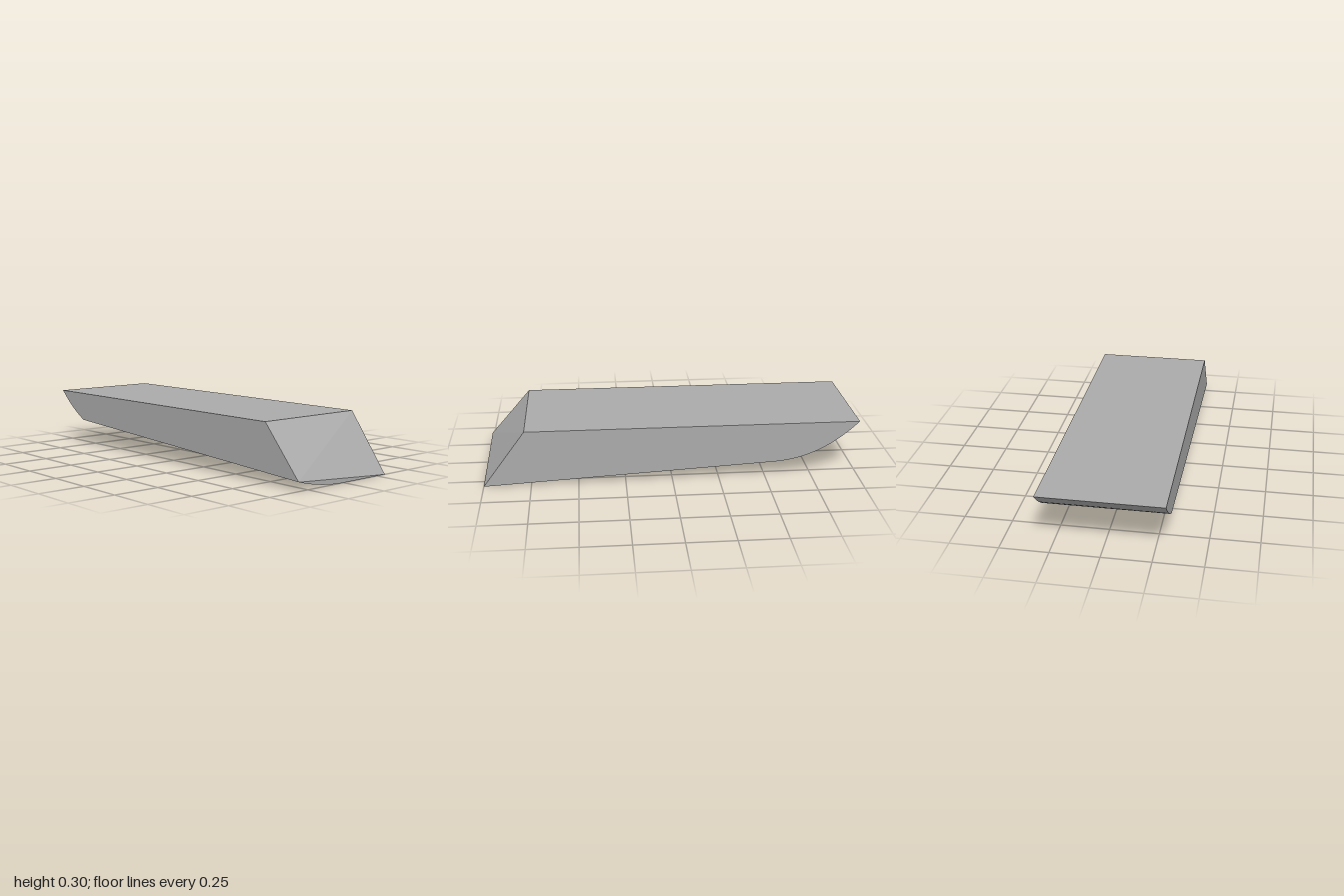
import * as THREE from 'three';

const W = 0.313;       // half width
const TOP = 0.304;     // deck height
const AFT = 0.775;     // aft edge of the deck
const SLOPE = 0.056;   // rise of the bottom towards the bow
const RISE = 0.045;    // lift of the bottom along the front side
const BOW = 14, RUN = 10, ROWS = 20;

const grey = new THREE.MeshStandardMaterial({ color: 0xaaaaaa });
grey.name = 'grey';

// Bow curve, tangent to the straight run of the bottom
const bow = new THREE.QuadraticBezierCurve(
  new THREE.Vector2(-1, TOP),
  new THREE.Vector2(-0.8, SLOPE * 1.8),
  new THREE.Vector2(-0.55, SLOPE * 1.55)
);

// Lower outline of the hull at a given z, from bow to stern
function outline(z) {
  const lift = RISE * Math.max(0, z / W) ** 2;
  const end = 1 - Math.sqrt(lift / (TOP - SLOPE * 2));
  const points = [];
  for (let i = 0; i <= BOW; i++) {
    const p = bow.getPoint((end * i) / BOW);
    points.push(new THREE.Vector3(p.x, p.y, z));
  }
  const start = points[BOW].x;
  for (let i = 1; i <= RUN; i++) {
    const x = start + ((1 - start) * i) / RUN;
    points.push(new THREE.Vector3(x, lift + SLOPE * (1 - x), z));
  }
  return points;
}

// Flat faces, each a fan around its first point
function faces(name, ...polygons) {
  const corners = [];
  for (const p of polygons) {
    for (let i = 1; i < p.length - 1; i++) corners.push(p[0], p[i], p[i + 1]);
  }
  const geometry = new THREE.BufferGeometry().setFromPoints(corners);
  geometry.computeVertexNormals();
  const mesh = new THREE.Mesh(geometry, grey);
  mesh.name = name;
  return mesh;
}

// Smooth surface through a list of outlines
function skin(name, rows) {
  const n = rows[0].length;
  const index = [];
  for (let i = 0; i < rows.length - 1; i++) {
    for (let j = 0; j < n - 1; j++) {
      const a = i * n + j, b = a + 1, c = a + n, d = c + 1;
      index.push(a, c, b, b, c, d);
    }
  }
  const geometry = new THREE.BufferGeometry().setFromPoints(rows.flat());
  geometry.setIndex(index);
  geometry.computeVertexNormals();
  const mesh = new THREE.Mesh(geometry, grey);
  mesh.name = name;
  return mesh;
}

export function createModel() {
  const hull = new THREE.Group();
  hull.name = 'hull';

  const rows = [];
  for (let i = 0; i <= ROWS; i++) rows.push(outline(W - (2 * W * i) / ROWS));
  const front = rows[0], back = rows[ROWS];
  const sternEdge = rows.map((r) => r[r.length - 1]);
  const sternFront = sternEdge[0], sternBack = sternEdge[ROWS];
  const deckFront = new THREE.Vector3(AFT, TOP, W);
  const deckBack = new THREE.Vector3(AFT, TOP, -W);

  hull.add(
    skin('bottom', rows),
    faces('deck', [front[0], deckFront, deckBack, back[0]]),
    faces('frontSide', [deckFront, ...front]),
    faces('backSide', [deckBack, ...[...back].reverse()]),
    // Sloping stern folded along its diagonal
    faces('stern', [deckFront, sternFront, deckBack], [deckBack, sternFront, sternBack]),
    // Thin upright face between the stern and the curved bottom
    faces('sternLip', sternEdge)
  );
  return hull;
}
